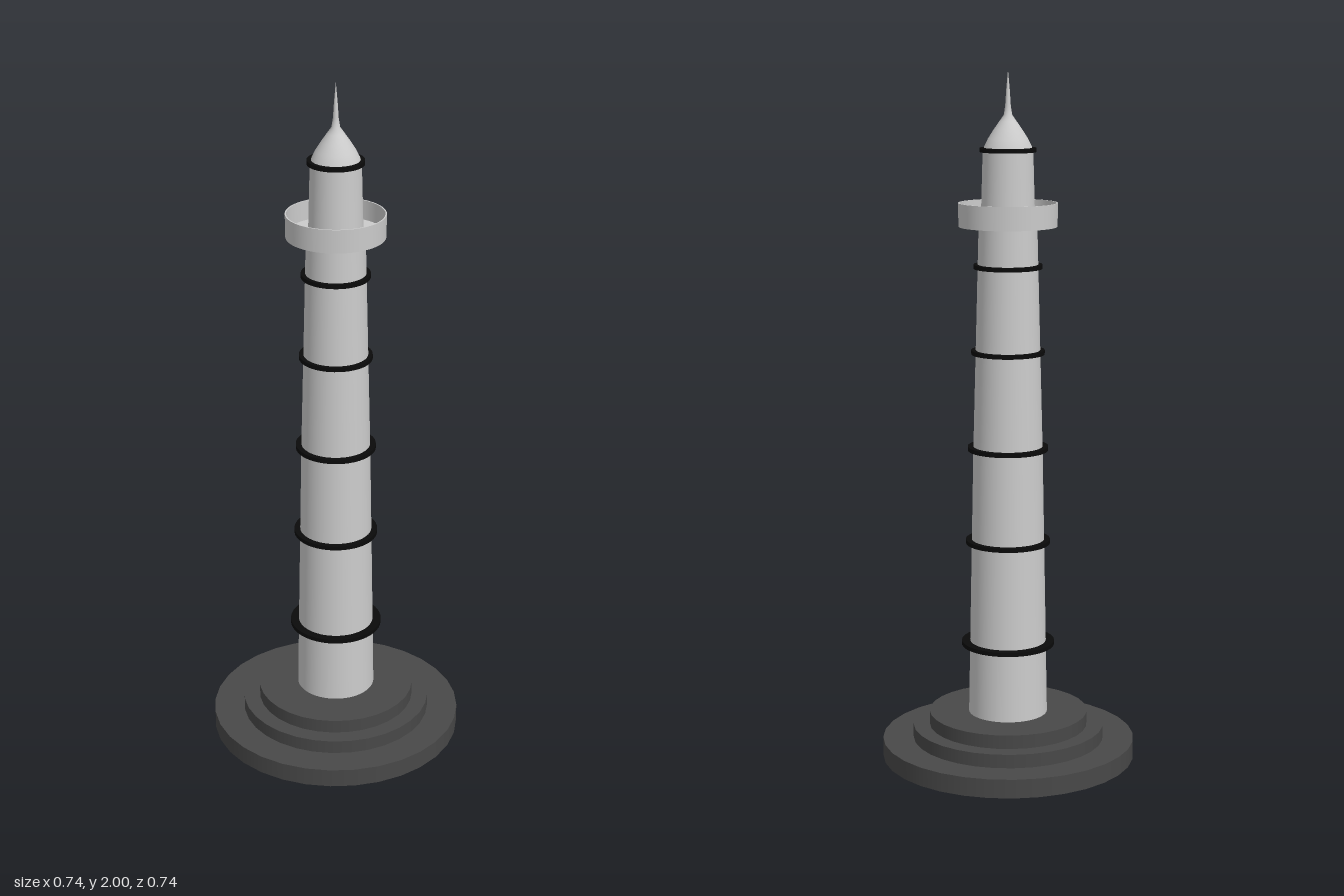
import * as THREE from 'three';

const grey = new THREE.MeshStandardMaterial({ color: 0xcccccc });
const thin = new THREE.MeshStandardMaterial({ color: 0xcccccc, side: THREE.DoubleSide });
const stone = new THREE.MeshStandardMaterial({ color: 0x484848 });
const black = new THREE.MeshStandardMaterial({ color: 0x0a0a0a });

export function createModel() {
  const model = new THREE.Group();
  model.name = 'lighthouse';
  const tower = new THREE.Group();
  tower.name = 'tower';
  tower.position.z = -0.005;
  model.add(tower);

  const add = (parent, name, geometry, material, y = 0) => {
    const mesh = new THREE.Mesh(geometry, material);
    mesh.name = name;
    mesh.position.y = y;
    parent.add(mesh);
  };
  const disc = (parent, name, radius, bottom, top, segments, material) =>
    add(parent, name, new THREE.CylinderGeometry(radius, radius, top - bottom, segments), material, (bottom + top) / 2);
  const lathe = (points, segments = 48) =>
    new THREE.LatheGeometry(points.map(([r, y]) => new THREE.Vector2(r, y)), segments);

  // Stepped round base
  [[0.37, 0, 0.055], [0.28, 0.055, 0.095], [0.232, 0.095, 0.135]].forEach(([r, bottom, top], i) =>
    disc(model, `baseStep${i + 1}`, r, bottom, top, 32, stone));

  // Tapering shaft and the narrower lantern room above it
  add(tower, 'shaft', lathe([[0.115, 0.13], [0.11, 0.4], [0.1, 0.92], [0.09, 1.3], [0.083, 1.57]]), grey);
  add(tower, 'lanternRoom', lathe([[0.077, 1.565], [0.075, 1.64], [0.071, 1.78]]), grey);

  // Gallery: floor with a thin upright parapet
  add(tower, 'gallery', lathe([
    [0.07, 1.563], [0.14, 1.563], [0.14, 1.563], [0.141, 1.63], [0.141, 1.63],
    [0.137, 1.63], [0.137, 1.63], [0.137, 1.573], [0.137, 1.573], [0.07, 1.573],
  ]), thin);

  // Bell-shaped roof running up into a needle
  add(tower, 'roof', lathe([
    [0.071, 1.775], [0.066, 1.79], [0.056, 1.81], [0.04, 1.835], [0.024, 1.858],
    [0.012, 1.875], [0.008, 1.9], [0.005, 1.945], [0, 2],
  ]), grey);

  // Projecting dark bands
  [[0.345, 0.135], [0.65, 0.122], [0.925, 0.116], [1.205, 0.105], [1.45, 0.098], [1.778, 0.08]]
    .forEach(([y, r], i) => disc(tower, `band${i + 1}`, r, y - 0.006, y + 0.006, 48, black));

  return model;
}
